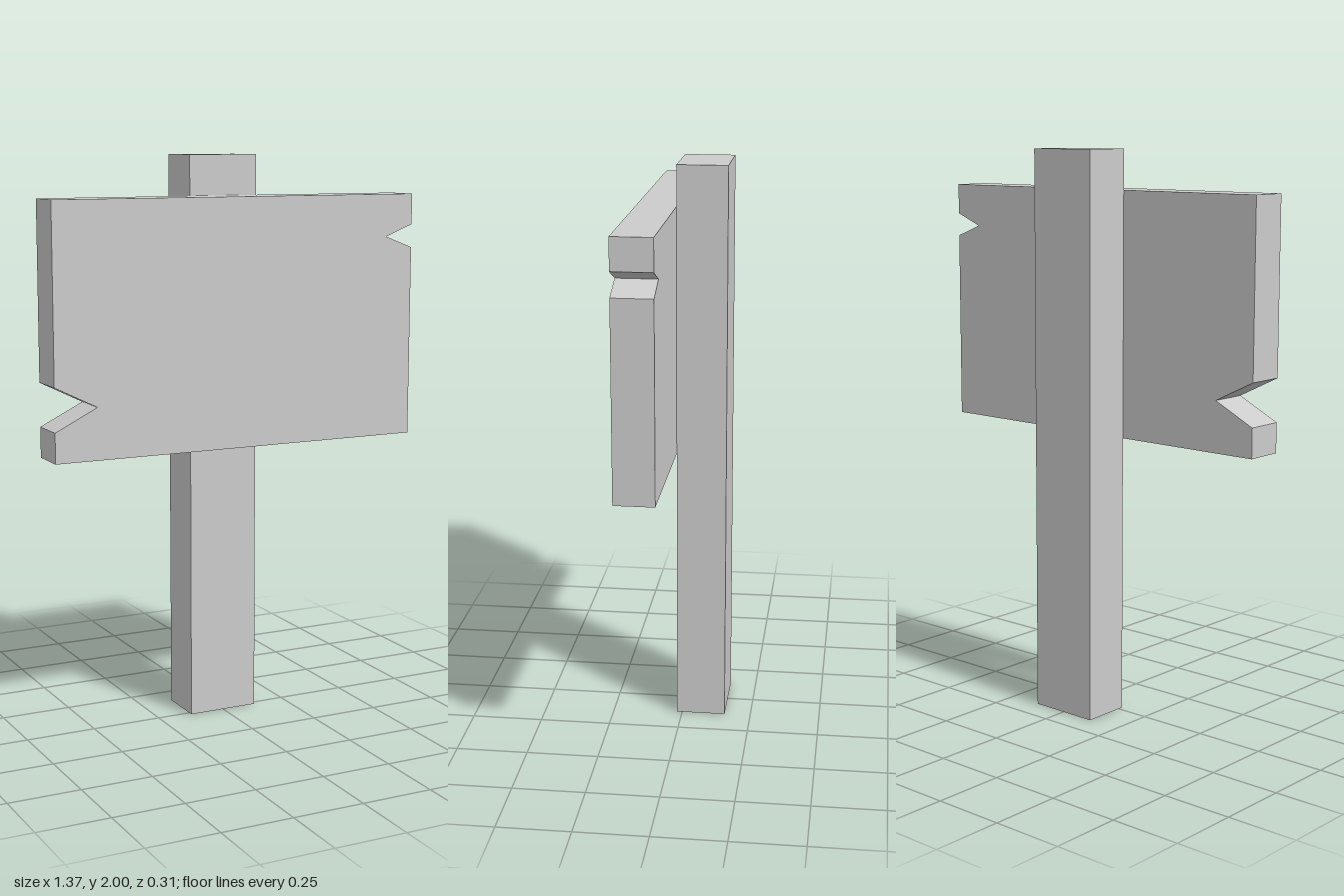
import * as THREE from 'three';

const JOIN_Z = 0.018; // plane where board meets post
const HALF_DEPTH = 0.156;

export function createModel() {
  const model = new THREE.Group();
  const material = new THREE.MeshStandardMaterial({ color: 0xcccccc, flatShading: true });

  // Square upright post
  const postDepth = HALF_DEPTH + JOIN_Z;
  const post = new THREE.Mesh(new THREE.BoxGeometry(0.256, 2, postDepth), material);
  post.name = 'post';
  post.position.set(0, 1, JOIN_Z - postDepth / 2);
  model.add(post);

  // Board outline, counter-clockwise, with a split notch in each end
  const outline = [
    [-0.687, 0.995], [0.685, 0.995],
    [0.685, 1.67], [0.58, 1.71], [0.685, 1.752],
    [0.685, 1.86], [-0.687, 1.86],
    [-0.687, 1.25], [-0.535, 1.175], [-0.687, 1.1],
  ];
  const shape = new THREE.Shape(outline.map(([x, y]) => new THREE.Vector2(x, y)));
  const board = new THREE.Mesh(
    new THREE.ExtrudeGeometry(shape, { depth: HALF_DEPTH - JOIN_Z, bevelEnabled: false }),
    material
  );
  board.name = 'signBoard';
  board.position.z = JOIN_Z;
  model.add(board);

  return model;
}
